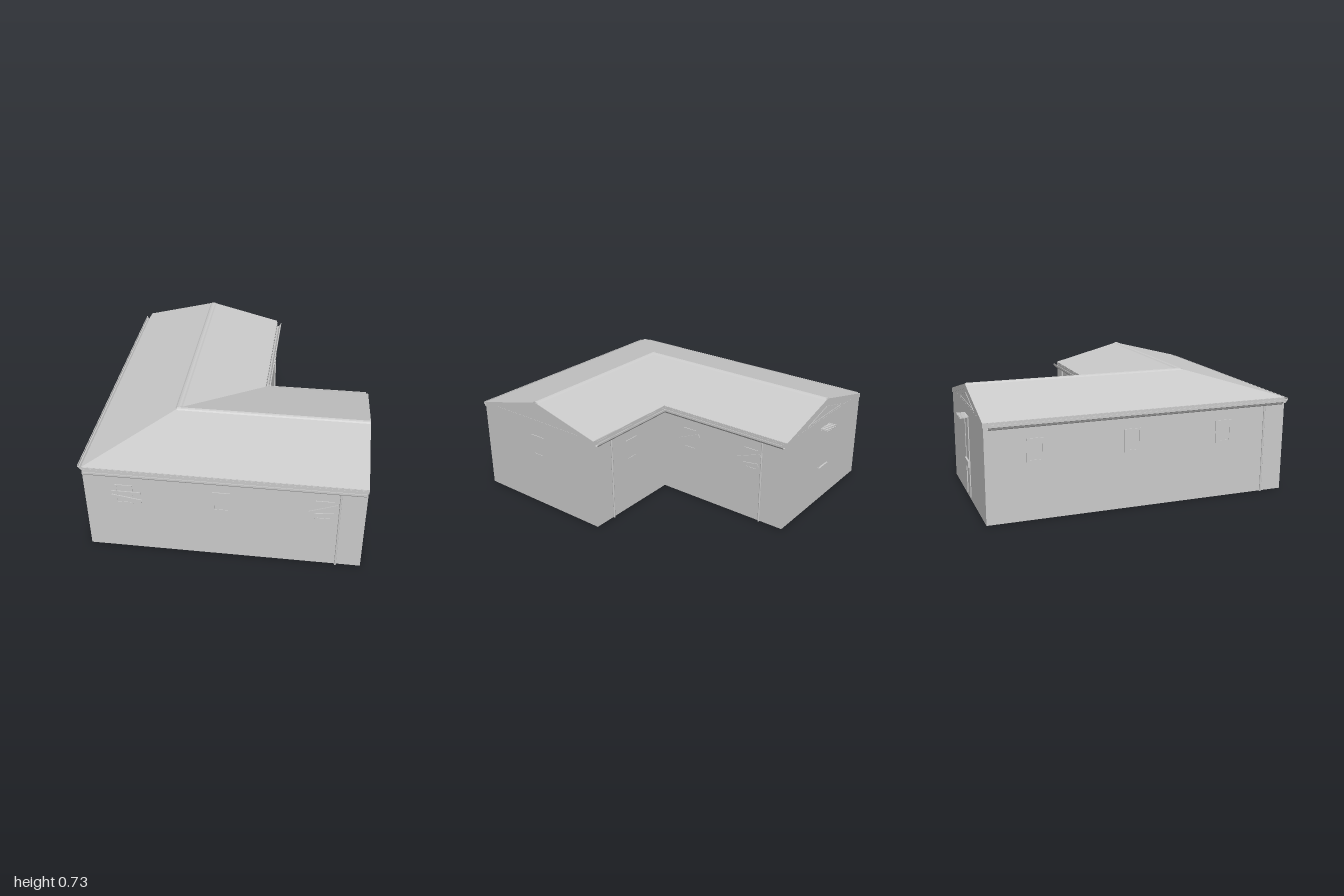
import * as THREE from 'three';

const plaster = new THREE.MeshStandardMaterial({ color: 0xcccccc });
plaster.name = 'pale grey';

function add(parent, name, geometry, x = 0, y = 0, z = 0, tilt = 0) {
  const mesh = new THREE.Mesh(geometry, plaster);
  mesh.name = name;
  mesh.position.set(x, y, z);
  mesh.rotation.z = tilt;
  parent.add(mesh);
  return mesh;
}

const box = (w, h, d) => new THREE.BoxGeometry(w, h, d);
const polygon = (points) => new THREE.Shape(points.map(([x, y]) => new THREE.Vector2(x, y)));

// A wall group: local x runs along the wall, local z points outwards
function wall(parent, name, x, z, turn) {
  const g = new THREE.Group();
  g.name = name;
  g.position.set(x, 0, z);
  g.rotation.y = turn;
  parent.add(g);
  return g;
}

function addWindow(g, x) {
  const frame = polygon([[-0.053, -0.07], [0.053, -0.07], [0.053, 0.07], [-0.053, 0.07]]);
  frame.holes.push(polygon([[-0.041, -0.058], [-0.041, 0.058], [0.041, 0.058], [0.041, -0.058]]));
  add(g, 'windowFrame', new THREE.ExtrudeGeometry(frame, { depth: 0.005, bevelEnabled: false }), x, 0.42, 0);
  add(g, 'windowPane', box(0.084, 0.118, 0.002), x, 0.42, 0.001);
}

function addPlank(g, x, y, length, tilt, z = 0.01) {
  add(g, 'boardedPlank', box(length, 0.023, 0.006), x, y, z, tilt);
}

// Open gutter channel with a fascia behind it
function addGutter(g, x, length) {
  const profile = polygon([[0, 0.588], [0, 0.563], [0.01, 0.557], [0.02, 0.562], [0.027, 0.574],
    [0.033, 0.577], [0.033, 0.59], [0.029, 0.59], [0.029, 0.58], [0.023, 0.577],
    [0.017, 0.566], [0.01, 0.562], [0.004, 0.566], [0.004, 0.588]]);
  const geo = new THREE.ExtrudeGeometry(profile, { depth: length, bevelEnabled: false });
  geo.rotateY(-Math.PI / 2).translate(length / 2, 0, 0);
  add(g, 'gutter', geo, x);
  add(g, 'fascia', box(length, 0.05, 0.004), x, 0.573, 0.001);
}

function addDownpipe(g, x) {
  add(g, 'downpipe', new THREE.CylinderGeometry(0.006, 0.006, 0.57, 10), x, 0.285, 0.007);
}

// Thin boards following both slopes of a gable
function addBargeBoards(g) {
  const boards = polygon([[-0.49, 0.6], [-0.49, 0.57], [0, 0.695], [0.49, 0.57], [0.49, 0.6], [0, 0.725]]);
  add(g, 'bargeBoards', new THREE.ExtrudeGeometry(boards, { depth: 0.004, bevelEnabled: false }));
}

export function createModel() {
  const model = new THREE.Group();
  model.name = 'house';

  // L-shaped wall block
  const plan = polygon([[-0.82, -0.965], [0.84, -0.965], [0.84, 0.015], [0.16, 0.015], [0.16, 0.945], [-0.82, 0.945]]);
  const block = new THREE.ExtrudeGeometry(plan, { depth: 0.599, bevelEnabled: false }).rotateX(-Math.PI / 2);
  add(model, 'walls', block);

  // Roof slopes and gable ends
  const A = [-0.82, 0.6, 0.965], B = [0.84, 0.6, 0.965], C = [0.84, 0.725, 0.475];
  const D = [-0.33, 0.725, 0.475], E = [-0.33, 0.725, -0.945], F = [-0.82, 0.6, -0.945];
  const G = [0.16, 0.6, -0.945], H = [0.16, 0.6, -0.015], I = [0.84, 0.6, -0.015];
  const faces = [[A, B, C, D], [F, A, D, E], [H, G, E, D], [I, H, D, C], [B, I, C], [G, F, E]];
  const corners = faces.flatMap(([a, b, c, d]) => (d ? [a, b, c, a, c, d] : [a, b, c]));
  const roof = new THREE.BufferGeometry();
  roof.setAttribute('position', new THREE.Float32BufferAttribute(corners.flat(), 3));
  roof.computeVertexNormals();
  add(model, 'roof', roof);

  // Ridge caps: low arched strips
  const cap = (length) => new THREE.ExtrudeGeometry(
    polygon([[-0.022, -0.006], [0.022, -0.006], [0.012, 0.001], [0, 0.004], [-0.012, 0.001]]),
    { depth: length, bevelEnabled: false });
  add(model, 'backRidgeCap', cap(1.42), -0.33, 0.725, -0.945);
  add(model, 'sideRidgeCap', cap(1.18).rotateY(Math.PI / 2), -0.34, 0.725, 0.475);

  // Front wall
  const front = wall(model, 'frontWall', 0, 0.965, 0);
  [-0.58, 0, 0.602].forEach((x) => addWindow(front, x));
  addPlank(front, -0.565, 0.437, 0.18, 0);
  addPlank(front, -0.565, 0.395, 0.18, -0.16);
  addPlank(front, 0.598, 0.438, 0.18, 0.36, 0.014);
  addPlank(front, 0.603, 0.396, 0.11, 0.14);
  addGutter(front, 0.01, 1.64);
  addDownpipe(front, 0.69);

  // Long outer wall
  const outer = wall(model, 'outerSideWall', -0.82, 0.01, -Math.PI / 2);
  [-0.66, -0.07, 0.53].forEach((x) => addWindow(outer, x));
  addGutter(outer, 0, 1.86);
  addDownpipe(outer, 0.81);

  // Side gable
  const side = wall(model, 'sideGable', 0.84, 0.475, Math.PI / 2);
  addWindow(side, 0);
  addBargeBoards(side);

  // Courtyard walls
  const courtSide = wall(model, 'courtyardSideWall', 0.16, 0, Math.PI / 2);
  [0.23, 0.7].forEach((x) => addWindow(courtSide, x));
  addPlank(courtSide, 0.23, 0.432, 0.17, 0.4);
  addPlank(courtSide, 0.695, 0.437, 0.18, 0.36, 0.014);
  addPlank(courtSide, 0.705, 0.385, 0.11, 0.14);
  addGutter(courtSide, 0.48, 0.91);
  addDownpipe(courtSide, 0.78);

  const courtBack = wall(model, 'courtyardBackWall', 0, -0.015, Math.PI);
  addWindow(courtBack, -0.5);
  addGutter(courtBack, -0.505, 0.65);
  addDownpipe(courtBack, -0.69);

  // Back gable with a tall door, letter ledge and canopy
  const back = wall(model, 'backGable', -0.33, -0.945, Math.PI);
  addBargeBoards(back);
  const vent = polygon([[-0.24, 0.61], [0.24, 0.61], [0, 0.672]]);
  vent.holes.push(polygon([[-0.2, 0.615], [0, 0.666], [0.2, 0.615]]));
  add(back, 'ventTrim', new THREE.ExtrudeGeometry(vent, { depth: 0.003, bevelEnabled: false }));
  for (const s of [-1, 1]) add(back, 'doorPost', box(0.007, 0.5, 0.006), s * 0.05, 0.27, 0.003);
  add(back, 'doorPanel', box(0.094, 0.28, 0.003), 0, 0.38, 0.001);
  add(back, 'doorLedge', box(0.115, 0.04, 0.014), 0, 0.232, 0.007);
  const canopy = add(back, 'canopy', box(0.12, 0.006, 0.057), 0, 0.529, 0.0265);
  canopy.rotation.x = 0.08;
  for (let i = 0; i < 5; i++) add(back, 'canopyRib', box(0.01, 0.006, 0.055), -0.05 + i * 0.025, 0.533, 0.027);

  return model;
}
